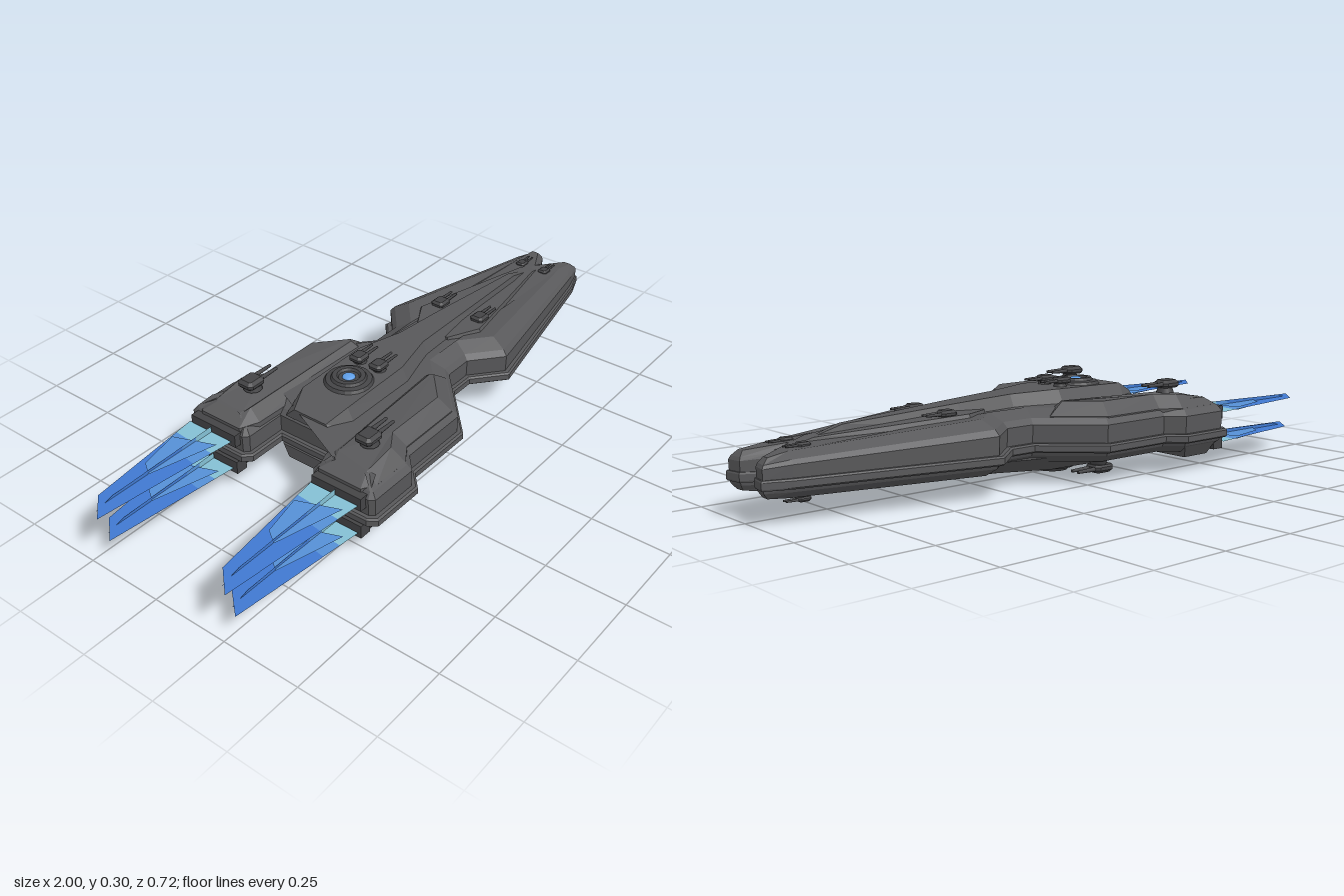
import * as THREE from 'three';

const mat = (name, color, side = THREE.FrontSide) => {
  const m = new THREE.MeshStandardMaterial({ color, side });
  m.name = name;
  return m;
};

export function createModel() {
  const ship = new THREE.Group();
  ship.name = 'starship';
  const grey = mat('hull grey', 0x58585a);
  const dark = mat('dark grey', 0x444446);
  const lens = mat('lens blue', 0x5f9fe8);
  const cyan = mat('flame cyan', 0x84c0d4, THREE.DoubleSide);
  const mid = mat('flame light blue', 0x5590d6, THREE.DoubleSide);
  const blue = mat('flame blue', 0x4079d0, THREE.DoubleSide);

  const add = (name, geo, material, x = 0, y = 0, z = 0, parent = ship) => {
    const m = new THREE.Mesh(geo, material);
    m.name = name;
    m.position.set(x, y, z);
    parent.add(m);
    return m;
  };
  const facets = (pos) => {
    const g = new THREE.BufferGeometry();
    g.setAttribute('position', new THREE.Float32BufferAttribute(pos, 3));
    g.computeVertexNormals();
    return g;
  };

  // Stack of inset copies of a plan outline [x, z, inset factor]; layers are [y, inset]
  function stack(outline, layers, warp = (x, y) => y) {
    let pts = outline;
    const v2 = pts.map((p) => new THREE.Vector2(p[0], p[1]));
    if (THREE.ShapeUtils.area(v2) < 0) pts = [...pts].reverse();
    const n = pts.length;
    const normal = (a, b) => new THREE.Vector2(b[1] - a[1], a[0] - b[0]).normalize();
    const rings = layers.map(([y, inset]) => pts.map((p, i) => {
      const n1 = normal(pts[(i + n - 1) % n], p), n2 = normal(p, pts[(i + 1) % n]);
      const s = -inset * (p[2] ?? 1) / Math.max(0.4, 1 + n1.dot(n2));
      const x = p[0] + (n1.x + n2.x) * s, z = p[1] + (n1.y + n2.y) * s;
      return [x, warp(x, y), z];
    }));
    const pos = [];
    for (let l = 0; l + 1 < rings.length; l++) {
      for (let i = 0; i < n; i++) {
        const j = (i + 1) % n, lo = rings[l], hi = rings[l + 1];
        pos.push(...lo[i], ...hi[i], ...lo[j], ...lo[j], ...hi[i], ...hi[j]);
      }
    }
    [[rings[0], -1], [rings[rings.length - 1], 1]].forEach(([ring, up]) => {
      const flat = ring.map((p) => new THREE.Vector2(p[0], p[2]));
      THREE.ShapeUtils.triangulateShape(flat, []).forEach(([a, b, c]) => {
        const A = flat[a], B = flat[b], C = flat[c];
        const ny = (B.y - A.y) * (C.x - A.x) - (B.x - A.x) * (C.y - A.y);
        const t = ny * up > 0 ? [a, b, c] : [a, c, b];
        t.forEach((k) => pos.push(...ring[k]));
      });
    });
    return facets(pos);
  }

  // Trapezoid sections along x: [x, half width below, half width above, bottom y, top y]
  function loft(sections) {
    const rings = sections.map(([x, b, t, y0, y1]) =>
      [[x, y0, b], [x, y1, t], [x, y1, -t], [x, y0, -b]]);
    const pos = [];
    for (let s = 0; s + 1 < rings.length; s++) {
      for (let i = 0; i < 4; i++) {
        const j = (i + 1) % 4, p = rings[s], q = rings[s + 1];
        pos.push(...p[i], ...q[i], ...p[j], ...p[j], ...q[i], ...q[j]);
      }
    }
    const p = rings[0], q = rings[rings.length - 1];
    pos.push(...p[0], ...p[1], ...p[2], ...p[0], ...p[2], ...p[3]);
    pos.push(...q[0], ...q[2], ...q[1], ...q[0], ...q[3], ...q[2]);
    return facets(pos);
  }

  // Main hull: forked nose, flared forward wings, waist and twin rear nacelles
  const half = [[0.91, 0, 0.3], [0.99, 0.04, 0.3], [1.0, 0.095, 0.35], [0.92, 0.125, 0.7],
    [0.32, 0.25], [0.22, 0.165], [0.135, 0.165], [-0.03, 0.315], [-0.27, 0.315],
    [-0.32, 0.362], [-0.5, 0.362], [-0.52, 0.335], [-0.52, 0.13], [-0.495, 0.105], [-0.37, 0.105]];
  const outline = [...half, ...half.slice(1).reverse().map(([x, z, k]) => [x, -z, k])];
  const L = THREE.MathUtils.lerp, C = THREE.MathUtils.clamp;
  const taper = (x, y) => {
    const s = L(1, 0.82, C((x - 0.35) / 0.45, 0, 1)) - 0.3 * C((x - 0.8) / 0.2, 0, 1);
    if (y > 0.13) return 0.13 + (y - 0.13) * s;
    return y < 0.1 ? 0.1 + (y - 0.1) * L(1, 0.6, C((x - 0.85) / 0.15, 0, 1)) : y;
  };
  add('lowerHull', stack(outline, [[0.066, 0.06], [0.09, 0.025], [0.104, 0.018]], taper), grey);
  add('hullBelt', stack(outline, [[0.102, 0.006], [0.107, 0], [0.125, 0], [0.13, 0.006]]), grey);
  add('upperHull', stack(outline,
    [[0.129, 0.018], [0.185, 0.016], [0.203, 0.03], [0.228, 0.075]], taper), grey);

  // Spine, bridge and keel
  add('bridgeAndSpine', loft([[-0.36, 0.095, 0.06, 0.2, 0.235], [-0.29, 0.12, 0.085, 0.2, 0.266],
    [-0.03, 0.12, 0.085, 0.2, 0.27], [0.13, 0.075, 0.045, 0.2, 0.265],
    [0.32, 0.06, 0.035, 0.2, 0.256], [0.7, 0.025, 0.012, 0.18, 0.234],
    [0.82, 0.008, 0.004, 0.17, 0.2]]), grey);
  add('foredeckWedge', loft([[0.24, 0.07, 0.06, 0.2, 0.232], [0.34, 0.13, 0.115, 0.2, 0.236],
    [0.8, 0.035, 0.025, 0.17, 0.211], [0.9, 0.02, 0.012, 0.16, 0.185]]), grey);
  add('keel', loft([[-0.37, 0.08, 0.1, 0.06, 0.1], [-0.31, 0.1, 0.16, 0.038, 0.085],
    [-0.16, 0.1, 0.2, 0.024, 0.08], [0.01, 0.1, 0.18, 0.026, 0.08],
    [0.2, 0.07, 0.13, 0.036, 0.08], [0.35, 0.06, 0.16, 0.042, 0.08],
    [0.9, 0.02, 0.05, 0.064, 0.085]]), grey);

  // Lens domes above and below
  const ringProfile = [[0, 0], [0.076, 0], [0.07, 0.009], [0.055, 0.012], [0.05, 0.02],
    [0.036, 0.02], [0.031, 0.013], [0, 0.013]].map((p) => new THREE.Vector2(...p));
  const dome = (name, x, y, flip) => {
    const g = new THREE.Group();
    g.name = name;
    g.position.set(x, y, 0);
    if (flip) g.rotation.x = Math.PI;
    ship.add(g);
    const r = new THREE.LatheGeometry(ringProfile, 24).toNonIndexed();
    r.computeVertexNormals();
    add('domeRing', r, dark, 0, 0, 0, g);
    const cap = new THREE.SphereGeometry(0.02, 16, 6, 0, Math.PI * 2, 0, Math.PI / 2);
    add('domeLens', cap.scale(1, 0.4, 1), lens, 0, 0.0132, 0, g);
  };
  dome('upperDome', -0.18, 0.267, false);
  dome('lowerDome', -0.08, 0.022, true);

  // Twin-barrel turret, guns towards the nose
  const turret = (name, x, y, z, s, flip) => {
    const g = new THREE.Group();
    g.name = name;
    g.position.set(x, y, z);
    g.scale.setScalar(s);
    if (flip) g.rotation.x = Math.PI;
    ship.add(g);
    add('turretBase', new THREE.CylinderGeometry(0.02, 0.025, 0.014, 12), dark, 0, 0.006, 0, g);
    add('turretHouse', stack([[-0.035, -0.017], [-0.025, -0.026], [0.015, -0.026], [0.025, -0.016],
      [0.025, 0.016], [0.015, 0.026], [-0.025, 0.026], [-0.035, 0.017]],
    [[0.013, 0.004], [0.018, 0], [0.026, 0], [0.034, 0.009]]), dark, 0, 0, 0, g);
    for (const side of [-1, 1]) {
      const barrel = new THREE.CylinderGeometry(0.004, 0.006, 0.06, 8).rotateZ(-Math.PI / 2);
      add('gunBarrel', barrel, dark, 0.05, 0.023, side * 0.011, g);
    }
  };

  // Flame blade: plan strip [x, w] from t0 to t1, w across the blade
  const edgeLow = (t) => [-0.4 * t, L(-0.088, -0.04, t)];
  const edgeHigh = (t) => [-0.47 * t, L(0.08, 0.035, t)];
  const blade = (parent, name, scale, vertical) => {
    const bands = [[0, 0.16, cyan], [0.16, 0.3, mid], [0.3, 1, blue]];
    bands.forEach(([a, b, m]) => {
      const pts = [edgeLow(a), edgeLow(b), edgeHigh(b), edgeHigh(a)]
        .map(([x, w]) => new THREE.Vector2(x * scale, vertical ? -w * 0.22 : w));
      const geo = new THREE.ShapeGeometry(new THREE.Shape(pts));
      if (!vertical) geo.rotateX(Math.PI / 2);
      add(name, geo, m, 0, 0, 0, parent);
    });
  };

  for (const side of [1, -1]) {
    // Raised nacelle deck
    const deck = [[-0.5, 0.15], [-0.5, 0.3], [-0.46, 0.325], [-0.33, 0.325], [-0.27, 0.285],
      [-0.05, 0.285], [0.08, 0.17], [0.04, 0.11], [-0.44, 0.125]];
    add('nacelleDeck', stack(deck.map(([x, z]) => [x, z * side]),
      [[0.19, 0], [0.207, 0], [0.247, 0.042]],
      (x, y) => y - Math.max(0, -0.4 - x) * 0.35 * (y > 0.22 ? 1 : 0)), grey);
    // Lower engine housing under the nacelle
    const housing = [[-0.505, 0.14], [-0.505, 0.32], [-0.48, 0.34], [-0.33, 0.34], [-0.33, 0.13]];
    add('engineHousing', stack(housing.map(([x, z]) => [x, z * side]),
      [[0.046, 0.035], [0.1, 0]]), grey);

    // Exhaust slots and flames, upper and lower
    for (const [y, len] of [[0.175, 1], [0.079, 0.94]]) {
      add('exhaustSlot', new THREE.BoxGeometry(0.04, 0.042, 0.175), dark, -0.505, y, side * 0.233);
      const flame = new THREE.Group();
      flame.name = 'engineFlame';
      flame.position.set(-0.53, y, side * 0.235);
      ship.add(flame);
      blade(flame, 'flameBlade', len, false);
      blade(flame, 'flameFin', len * 0.95, true);
      // Short inner flame laid on both faces of the blade
      const core = [[-0.04, 0.06], [-0.255, 0.005], [-0.225, -0.04], [-0.09, -0.07]]
        .map((p) => new THREE.Vector2(...p));
      for (const o of [-0.004, 0.004]) {
        add('flameCore', new THREE.ShapeGeometry(new THREE.Shape(core)).rotateX(Math.PI / 2),
          mid, 0, o, 0, flame);
      }
    }

    turret('nacelleTurret', -0.36, 0.245, side * 0.222, 1.15, false);
    turret('bridgeTurret', -0.08, 0.267, side * 0.037, 0.9, false);
    turret('foredeckTurret', 0.4, 0.219, side * 0.078, 0.9, false);
    turret('noseTurret', 0.85, 0.186, side * 0.045, 0.65, false);
    turret('lowerNacelleTurret', -0.07, 0.068, side * 0.222, 1.2, true);
    turret('lowerNoseTurret', 0.86, 0.072, side * 0.056, 0.65, true);
  }
  return ship;
}
